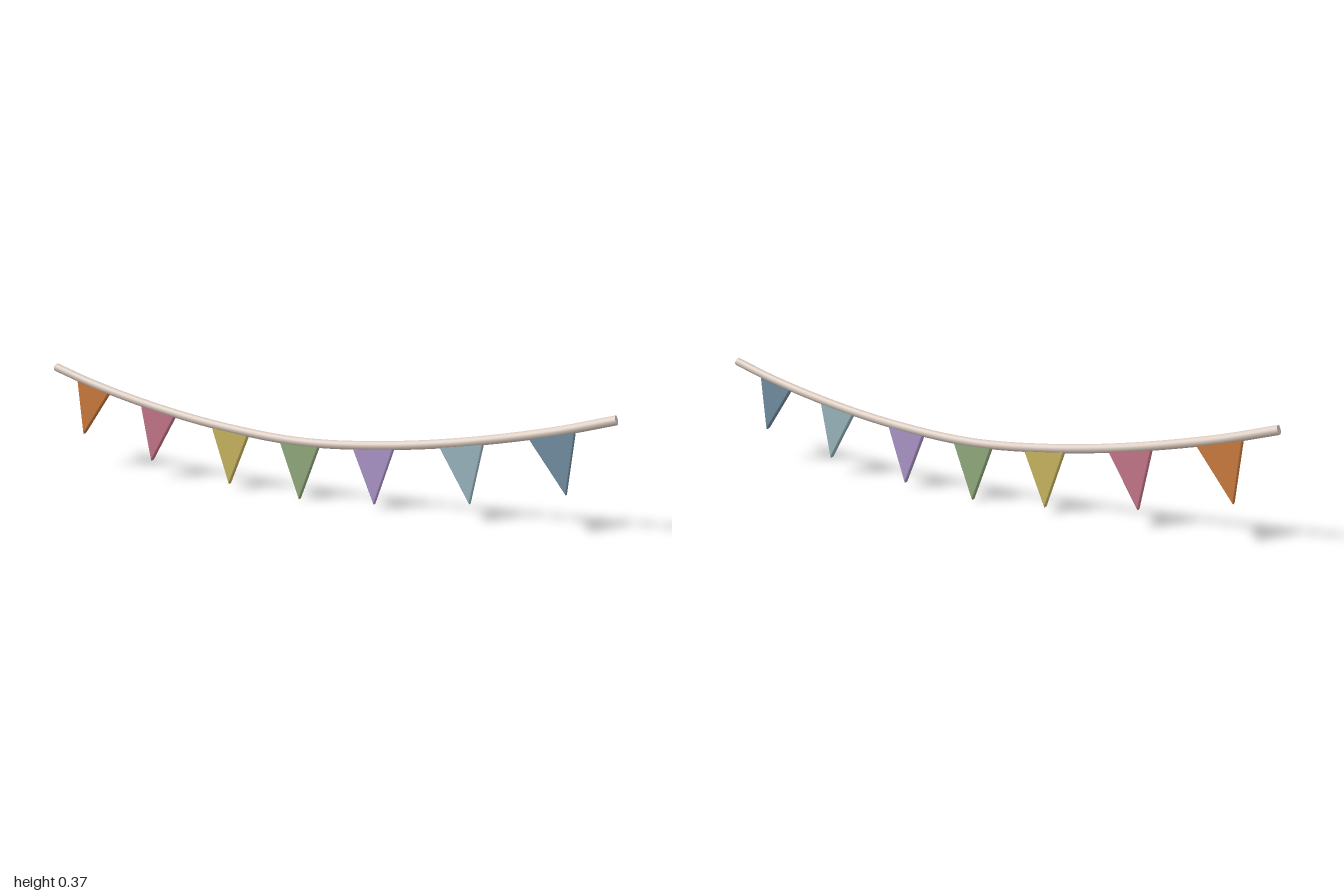
import * as THREE from 'three';

const mat = (name, color) => {
  const m = new THREE.MeshStandardMaterial({ color });
  m.name = name;
  return m;
};

export function createModel() {
  const group = new THREE.Group();
  group.name = 'bunting';
  const add = (name, geometry, material) => {
    const mesh = new THREE.Mesh(geometry, material);
    mesh.name = name;
    group.add(mesh);
    return mesh;
  };

  // Sagging rope, mirrored about the middle
  const half = [[0.27, 0.208], [0.54, 0.247], [0.82, 0.308], [0.996, 0.359]];
  const points = [
    ...half.map(([x, y]) => new THREE.Vector3(-x, y, 0)).reverse(),
    new THREE.Vector3(0, 0.191, 0),
    ...half.map(([x, y]) => new THREE.Vector3(x, y, 0)),
  ];
  const curve = new THREE.CatmullRomCurve3(points);
  const radius = 0.0143;
  const ropeMat = mat('rope beige', 0xd6c7bc);
  add('rope', new THREE.TubeGeometry(curve, 64, radius, 16), ropeMat);

  // Flat rope ends
  for (const [t, sign] of [[0, -1], [1, 1]]) {
    const cap = add('ropeEnd', new THREE.CircleGeometry(radius, 16), ropeMat);
    cap.position.copy(curve.getPointAt(t));
    const outward = curve.getTangentAt(t).multiplyScalar(sign);
    cap.quaternion.setFromUnitVectors(new THREE.Vector3(0, 0, 1), outward);
  }

  // Bevelled triangular flag, hung from its top edge
  const triangle = new THREE.Shape([
    new THREE.Vector2(-0.067, -0.008),
    new THREE.Vector2(0, -0.185),
    new THREE.Vector2(0.067, -0.008),
  ]);
  const flagGeo = new THREE.ExtrudeGeometry(triangle, {
    depth: 0.011, bevelEnabled: true, bevelThickness: 0.004, bevelSize: 0.004, bevelSegments: 2,
  });
  flagGeo.translate(0, 0, -0.0055);

  // Flags: colour name, colour, x, rope height, tilt
  const flags = [
    ['orange', 0xc9793d, -0.828, 0.311, -0.28],
    ['rose', 0xc27486, -0.555, 0.25, -0.18],
    ['mustard', 0xc7b35f, -0.267, 0.209, -0.04],
    ['green', 0x8fa87c, -0.008, 0.191, 0],
    ['lilac', 0xaa94c6, 0.251, 0.208, 0.04],
    ['pale blue', 0x97b3bc, 0.54, 0.248, 0.18],
    ['slate blue', 0x708c9f, 0.813, 0.309, 0.28],
  ];
  for (const [name, color, x, y, tilt] of flags) {
    const flag = add('flag', flagGeo, mat(name, color));
    flag.position.set(x, y, 0);
    flag.rotation.z = tilt;
  }
  return group;
}
